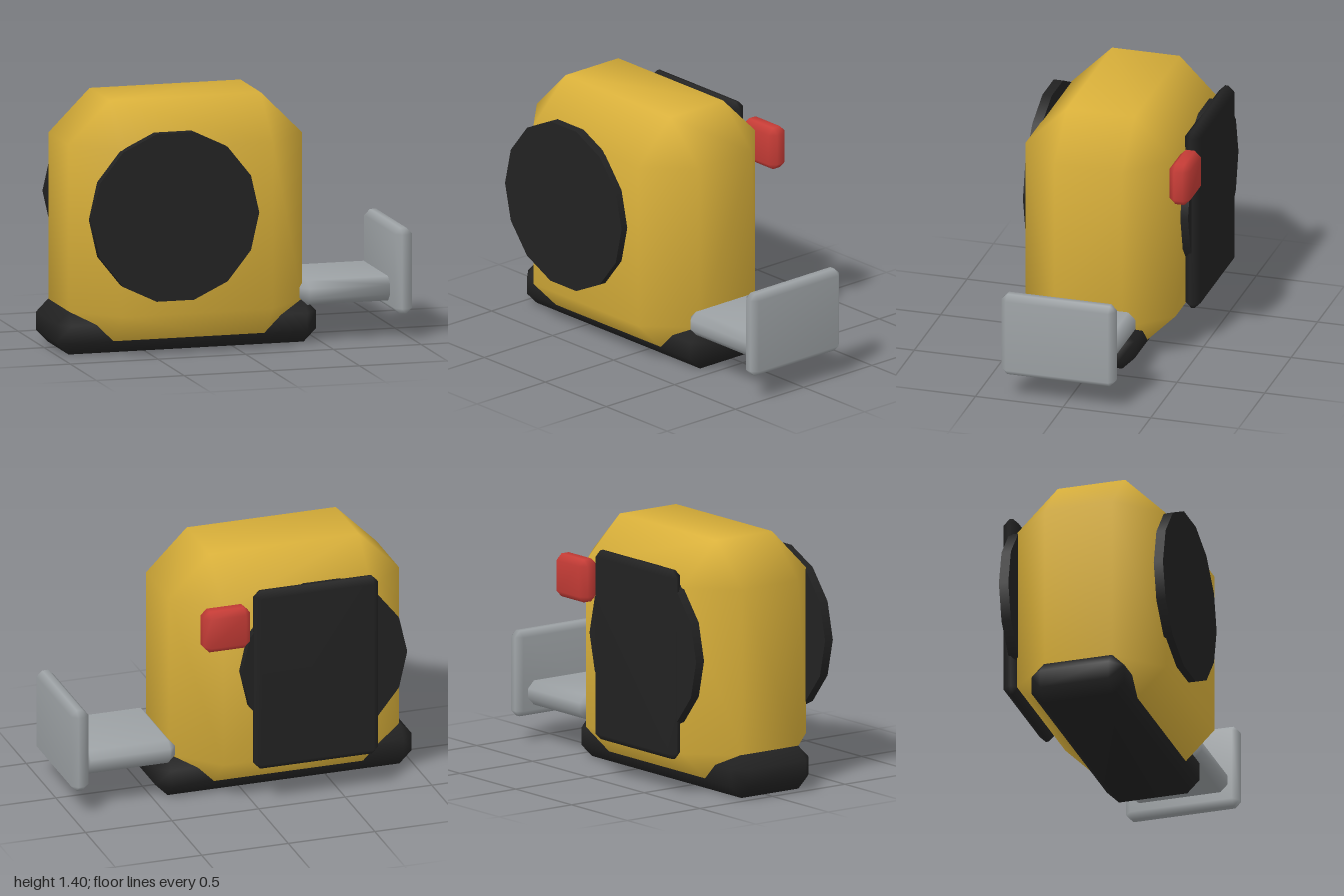
import * as THREE from 'three';
import { ConvexGeometry } from 'three/addons/geometries/ConvexGeometry.js';
import { mergeVertices } from 'three/addons/utils/BufferGeometryUtils.js';

const material = (name, color) => {
  const m = new THREE.MeshStandardMaterial({ color });
  m.name = name;
  return m;
};

// Box between two corners with every edge cut by one chamfer, shaded smooth.
// squareEnd leaves the +x end flat, without its chamfer.
function chamferBox(min, max, bevel, squareEnd = false) {
  const points = [];
  for (let corner = 0; corner < 8; corner++) {
    const high = [corner & 1, corner & 2, corner & 4];
    for (let face = 0; face < 3; face++) {
      const p = high.map((h, axis) => {
        const keep = axis === face || (squareEnd && axis === 0 && h);
        const inset = keep ? 0 : bevel;
        return h ? max[axis] - inset : min[axis] + inset;
      });
      points.push(new THREE.Vector3(...p));
    }
  }
  const hull = new ConvexGeometry(points);
  hull.deleteAttribute('normal');
  const geometry = mergeVertices(hull);
  geometry.computeVertexNormals();
  return geometry;
}

// Thin fourteen-sided disc facing z, with a corner on the x axis
function disc(zBack, zFront) {
  const geometry = new THREE.CylinderGeometry(0.478, 0.478, zFront - zBack, 14, 1, false, Math.PI / 2);
  geometry.rotateX(Math.PI / 2);
  geometry.translate(-0.403, 0.787, (zBack + zFront) / 2);
  return geometry;
}

export function createModel() {
  const group = new THREE.Group();
  group.name = 'tapeMeasure';

  const yellow = material('yellow casing', 0xd9b03a);
  const black = material('black rubber', 0x222222);
  const grey = material('grey metal', 0x9da2a5);
  const red = material('red button', 0xc63c36);

  const add = (name, geometry, mat) => {
    const mesh = new THREE.Mesh(geometry, mat);
    mesh.name = name;
    group.add(mesh);
  };

  // Casing and the foot it stands on
  add('casing', chamferBox([-0.93, 0.003, -0.39], [0.4, 1.4, 0.466], 0.235), yellow);
  add('foot', chamferBox([-1, 0, -0.23], [0.48, 0.24, 0.302], 0.07), black);

  // Round side panels
  add('frontDisc', disc(0.455, 0.508), black);
  add('backDisc', disc(-0.434, -0.38), black);

  // Belt clip and lock button on the back
  add('beltClip', chamferBox([-0.71, 0.21, -0.474], [0.005, 1.267, -0.386], 0.035), black);
  add('lockButton', chamferBox([0.04, 0.96, -0.508], [0.31, 1.2, -0.388], 0.035), red);

  // Blade with its end hook
  add('blade', chamferBox([0.38, 0.21, -0.238], [0.88, 0.345, 0.31], 0.04, true), grey);
  add('endHook', chamferBox([0.9, 0.142, -0.288], [1, 0.62, 0.361], 0.033), grey);

  return group;
}
